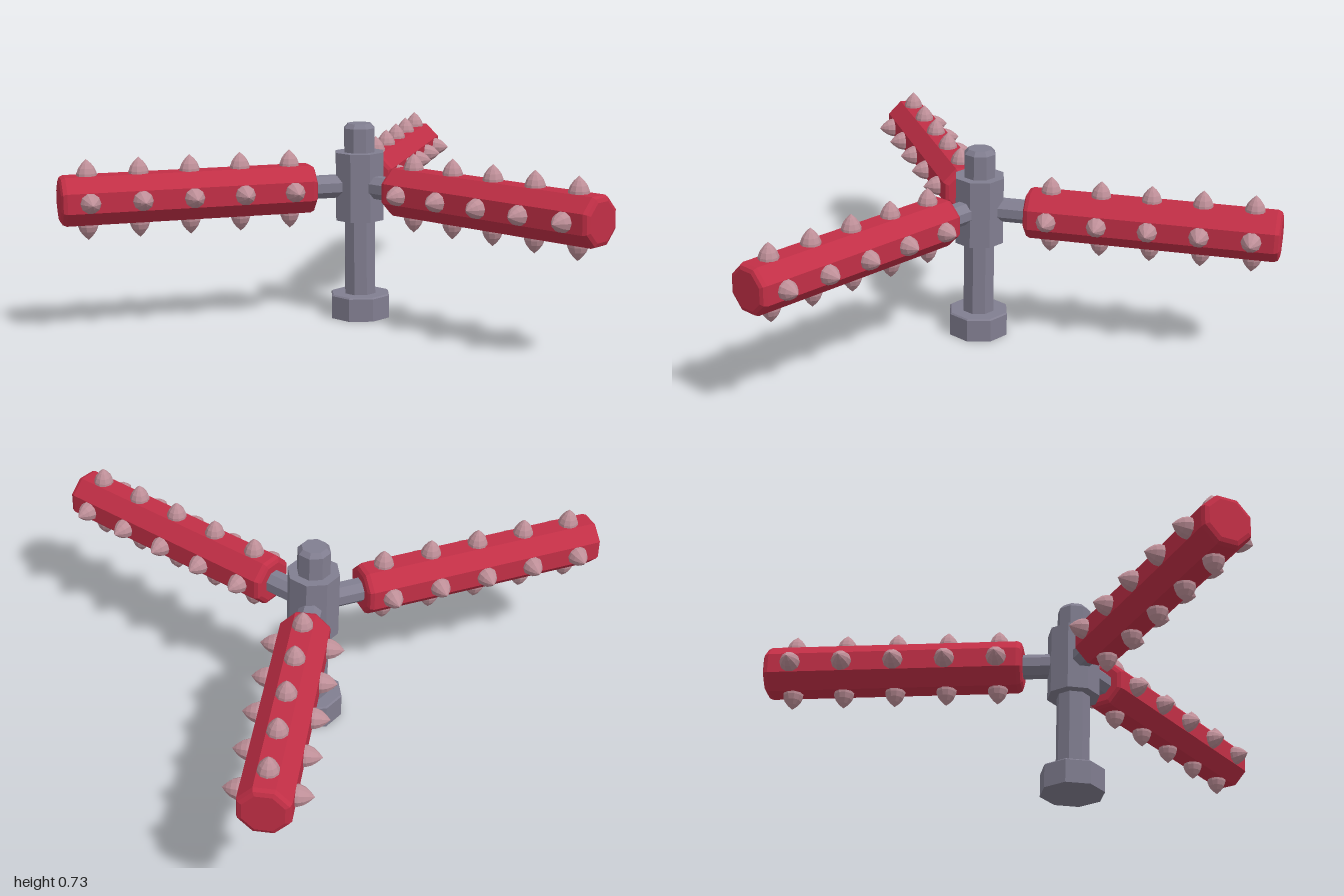
import * as THREE from 'three';

const red = new THREE.MeshStandardMaterial({ color: 0xc22f46, flatShading: true });
red.name = 'red padding';
const metal = new THREE.MeshStandardMaterial({ color: 0x817e90, flatShading: true });
metal.name = 'grey metal';
const pink = new THREE.MeshStandardMaterial({ color: 0xbe8f98, flatShading: true });
pink.name = 'pale pink spike';

const FLAT = Math.cos(Math.PI / 8); // octagon apothem / corner radius

// Octagonal solid turned from [half width across flats, height] pairs, flats on the axes
function octagon(name, profile, material) {
  const points = profile.map(([r, y]) => new THREE.Vector2(r / FLAT, y));
  const mesh = new THREE.Mesh(new THREE.LatheGeometry(points, 8, Math.PI / 8), material);
  mesh.name = name;
  return mesh;
}

// Pointed bullet-shaped stud, growing along +y
const spikeGeometry = new THREE.LatheGeometry(
  [[0.037, 0], [0.036, 0.016], [0.029, 0.034], [0.017, 0.05], [0, 0.066]]
    .map(([r, y]) => new THREE.Vector2(r, y)), 10);

function createArm() {
  const arm = new THREE.Group();
  arm.name = 'arm';

  // Rod joining the bar to the hub
  const rod = octagon('connectorRod', [[0, 0.05], [0.041, 0.05], [0.041, 0.22], [0, 0.22]], metal);
  rod.rotation.x = Math.PI / 2;

  // Padded bar with rounded ends
  const bar = octagon('bar', [
    [0, 0.18], [0.068, 0.18], [0.081, 0.186], [0.087, 0.2],
    [0.087, 1.09], [0.081, 1.104], [0.068, 1.11], [0, 1.11],
  ], red);
  bar.rotation.x = Math.PI / 2;
  arm.add(rod, bar);

  // Five rings of four spikes
  for (let i = 0; i < 5; i++) {
    for (let k = 0; k < 4; k++) {
      const turn = new THREE.Group();
      turn.name = 'spikeMount';
      turn.rotation.z = k * Math.PI / 2;
      const spike = new THREE.Mesh(spikeGeometry, pink);
      spike.name = 'spike';
      spike.position.set(0, 0.08, 0.27 + i * 0.185);
      turn.add(spike);
      arm.add(turn);
    }
  }
  return arm;
}

export function createModel() {
  const model = new THREE.Group();
  model.name = 'spikedSpinner';

  const pivot = new THREE.Group();
  pivot.name = 'spinner';
  pivot.position.z = -0.24;
  model.add(pivot);

  // Foot, post and hub
  pivot.add(
    octagon('foot', [[0, 0], [0.107, 0], [0.107, 0.085], [0.102, 0.09], [0, 0.09]], metal),
    octagon('post', [[0, 0.08], [0.056, 0.08], [0.056, 0.715], [0.042, 0.732], [0, 0.732]], metal),
    octagon('hub', [[0, 0.372], [0.088, 0.372], [0.088, 0.626], [0, 0.626]], metal),
  );

  // Three arms, evenly spaced
  const rotor = new THREE.Group();
  rotor.name = 'rotor';
  rotor.position.y = 0.5;
  for (let i = 0; i < 3; i++) {
    const arm = createArm();
    arm.rotation.y = i * Math.PI * 2 / 3;
    rotor.add(arm);
  }
  pivot.add(rotor);
  return model;
}
